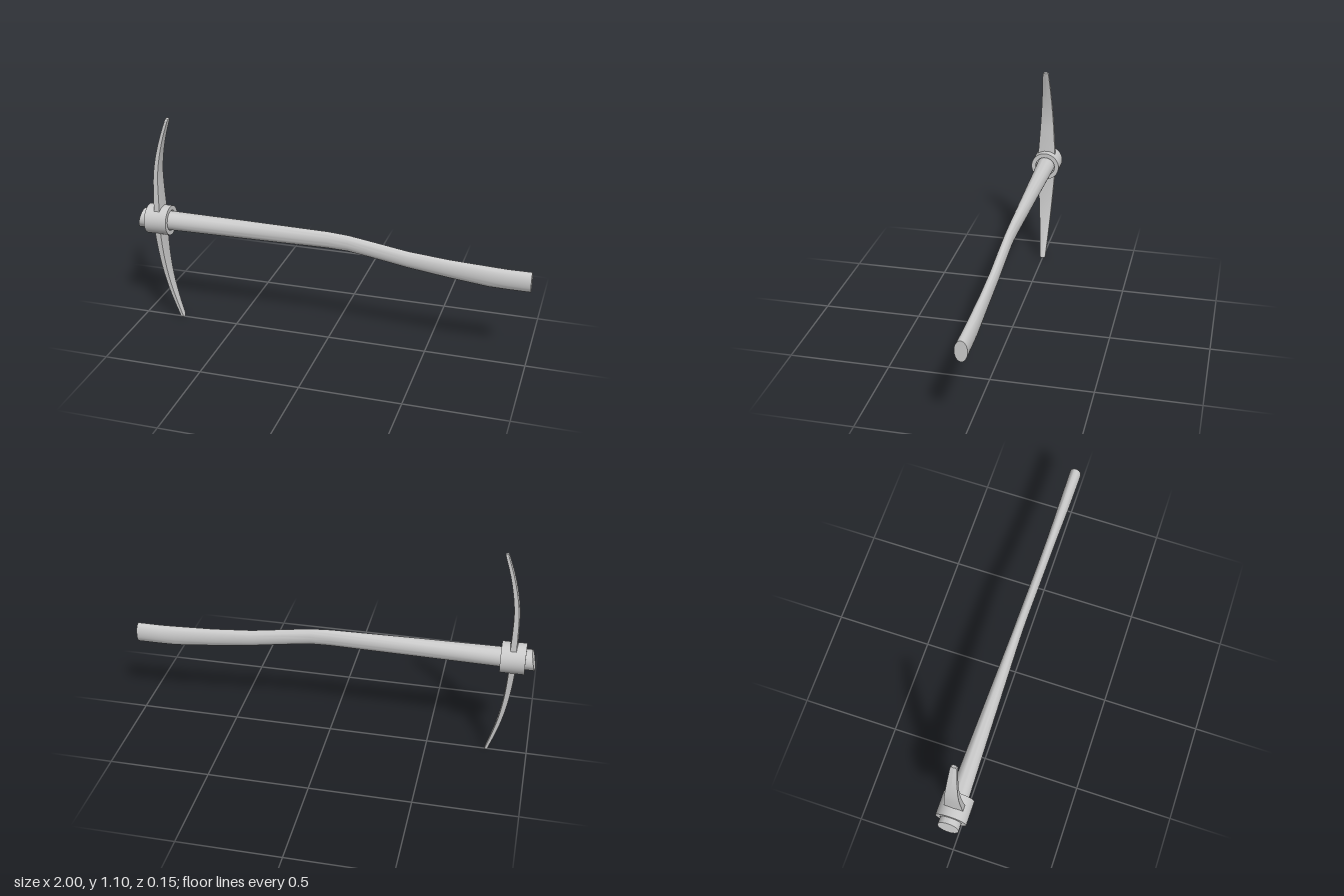
import * as THREE from 'three';
import { toCreasedNormals } from 'three/addons/utils/BufferGeometryUtils.js';

const AXIS_Y = 0.549;
const material = new THREE.MeshStandardMaterial({ color: 0xcccccc });

// Skin a list of equal-length rings (counter-clockwise about the path) and cap both ends
function loft(rings, crease) {
  const n = rings[0].length;
  const pos = [];
  const tri = (...pts) => pts.forEach((p) => pos.push(p.x, p.y, p.z));
  const middle = (ring) => ring.reduce((s, p) => s.add(p), new THREE.Vector3()).divideScalar(n);
  const first = rings[0], last = rings[rings.length - 1];
  const c0 = middle(first), c1 = middle(last);
  for (let j = 0; j < n; j++) {
    const k = (j + 1) % n;
    for (let i = 0; i < rings.length - 1; i++) {
      const a = rings[i], b = rings[i + 1];
      tri(a[j], a[k], b[k]);
      tri(a[j], b[k], b[j]);
    }
    tri(c0, first[k], first[j]);
    tri(c1, last[j], last[k]);
  }
  const geo = new THREE.BufferGeometry();
  geo.setAttribute('position', new THREE.Float32BufferAttribute(pos, 3));
  return toCreasedNormals(geo, crease);
}

function addMesh(group, name, geo) {
  const mesh = new THREE.Mesh(geo, material);
  mesh.name = name;
  group.add(mesh);
}

// Handle: elliptical sections [x, centre y, half height, half width, end slant]
function handleGeometry() {
  const stations = [
    [-0.99, 0.548, 0.05, 0.052, 0.01],
    [-0.83, 0.548, 0.049, 0.047, 0],
    [-0.45, 0.548, 0.047, 0.036, 0],
    [0.0, 0.547, 0.043, 0.024, 0],
    [0.1, 0.542, 0.041, 0.023, 0],
    [0.22, 0.524, 0.041, 0.023, 0],
    [0.4, 0.495, 0.042, 0.023, 0],
    [0.6, 0.474, 0.046, 0.024, 0],
    [0.8, 0.459, 0.052, 0.028, 0],
    [0.88, 0.457, 0.051, 0.029, 0],
    [1.0, 0.457, 0.051, 0.03, 0],
  ];
  const rings = stations.map(([x, cy, ry, rz, slant]) =>
    Array.from({ length: 32 }, (_, j) => {
      const a = (j / 32) * Math.PI * 2;
      return new THREE.Vector3(x + slant * Math.cos(a), cy + ry * Math.cos(a), rz * Math.sin(a));
    }));
  return loft(rings, 0.6);
}

// Blade: tapering, lightly ridged bar along a curved spine in the xy plane, listed upwards
function bladeGeometry(spine) {
  const curve = new THREE.CatmullRomCurve3(spine.map(([x, y]) => new THREE.Vector3(x, y, 0)));
  const steps = 24;
  const tipLow = spine[0][1] < 0.3;
  const ts = Array.from({ length: steps + 1 }, (_, i) => i / steps);
  // extra section near the tip to round it off
  ts.splice(tipLow ? 1 : steps, 0, tipLow ? 0.015 : 0.985);
  const rings = ts.map((t) => {
    const p = curve.getPointAt(t), tan = curve.getTangentAt(t);
    const out = new THREE.Vector3(tan.y, -tan.x, 0);
    const d = Math.abs(p.y - AXIS_Y) / 0.546;
    const atTip = t === (tipLow ? 0 : 1);
    const w = (0.0505 - 0.0355 * d) * (atTip ? 0.65 : 1);
    const h = 0.0195 - 0.0115 * d;
    const e = h * 0.8;
    return [[w, -e], [w, e], [0, h], [-w, e], [-w, -e], [0, -h]].map(([z, s]) =>
      p.clone().addScaledVector(out, s).setZ(z));
  });
  return loft(rings, 0.18);
}

// Collar: short ring around the handle
function collarGeometry() {
  const h = 0.059, ro = 0.076, ri = 0.053;
  const profile = [[ri, -h], [ro, -h], [ro, h], [ri, h], [ri, -h]].map(([r, y]) => new THREE.Vector2(r, y));
  const geo = toCreasedNormals(new THREE.LatheGeometry(profile, 40), 0.6);
  return geo.rotateZ(-Math.PI / 2).translate(-0.893, AXIS_Y, 0);
}

export function createModel() {
  const group = new THREE.Group();
  group.name = 'pickaxe';
  addMesh(group, 'handle', handleGeometry());
  addMesh(group, 'collar', collarGeometry());
  addMesh(group, 'upperBlade', bladeGeometry([
    [-0.891, 0.602], [-0.892, 0.7], [-0.89, 0.8], [-0.878, 0.89], [-0.855, 0.99], [-0.822, 1.094],
  ]));
  addMesh(group, 'lowerBlade', bladeGeometry([
    [-0.797, 0.003], [-0.828, 0.1], [-0.855, 0.2], [-0.874, 0.3], [-0.886, 0.4], [-0.893, 0.496],
  ]));
  return group;
}
